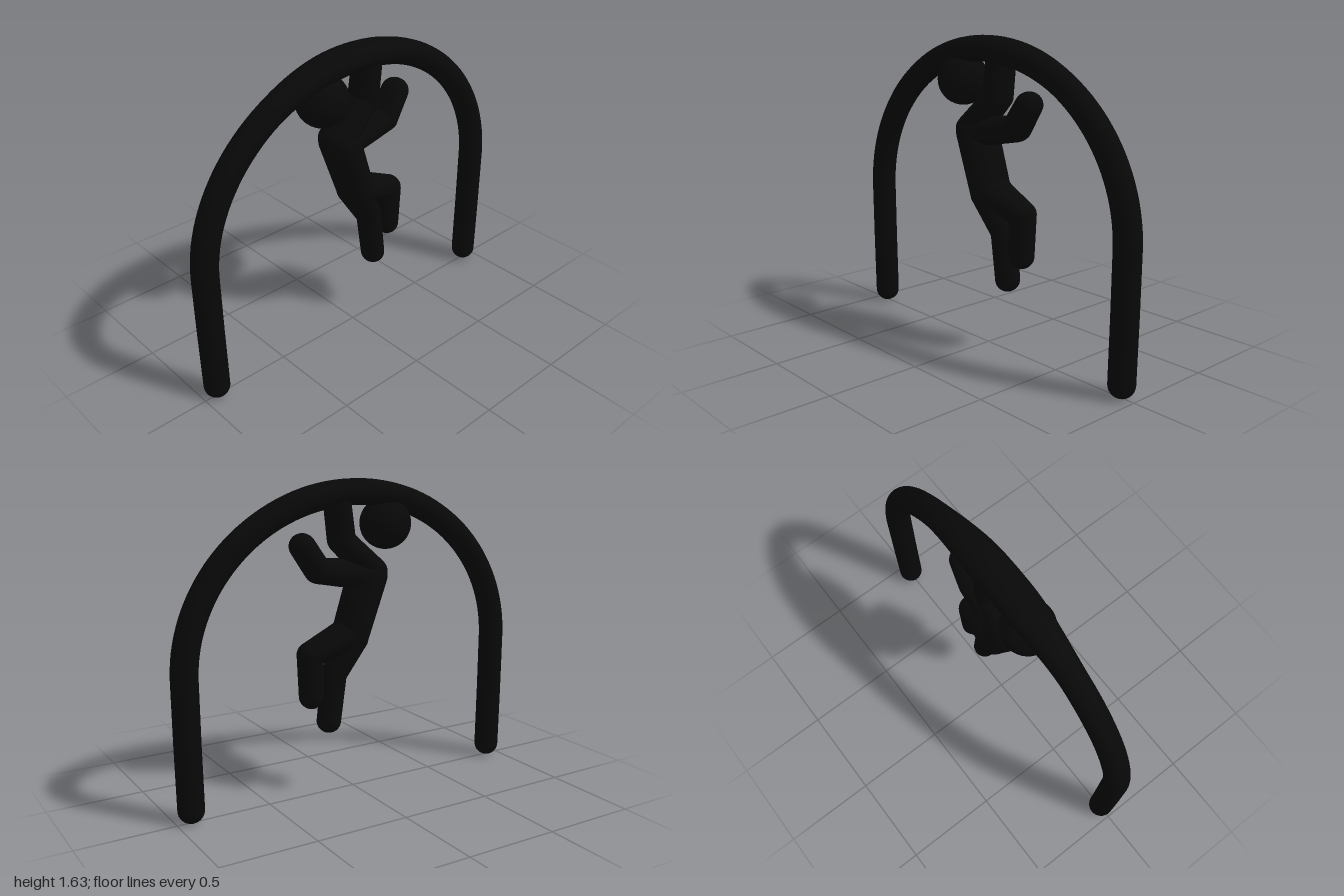
import * as THREE from 'three';

const SIDES = 28, CAP = 8;

// Round-ended solid along stations [x, y, radius across, radius in z] lying in the z = 0 plane
function sweep(stations) {
  const last = stations.length - 1;
  const tangents = stations.map((s, i) => {
    const a = stations[Math.max(i - 1, 0)], b = stations[Math.min(i + 1, last)];
    return new THREE.Vector2(b[0] - a[0], b[1] - a[1]).normalize();
  });
  const pos = [], idx = [];
  let rings = 0;
  const ring = (i, tilt) => {
    const [x, y, r, rz] = stations[i], t = tangents[i];
    const k = Math.cos(tilt), push = r * Math.sin(tilt);
    for (let j = 0; j < SIDES; j++) {
      const a = (j / SIDES) * Math.PI * 2, n = r * k * Math.cos(a);
      pos.push(x + t.x * push - t.y * n, y + t.y * push + t.x * n, rz * k * Math.sin(a));
    }
    rings++;
  };
  for (let c = CAP; c > 0; c--) ring(0, (-c / CAP) * Math.PI / 2);
  for (let i = 0; i <= last; i++) ring(i, 0);
  for (let c = 1; c <= CAP; c++) ring(last, (c / CAP) * Math.PI / 2);
  for (let i = 0; i < rings - 1; i++) {
    for (let j = 0; j < SIDES; j++) {
      const a = i * SIDES + j, b = i * SIDES + (j + 1) % SIDES;
      idx.push(a, b, a + SIDES, b, b + SIDES, a + SIDES);
    }
  }
  const geo = new THREE.BufferGeometry();
  geo.setAttribute('position', new THREE.Float32BufferAttribute(pos, 3));
  geo.setIndex(idx);
  geo.computeVertexNormals();
  return geo;
}

export function createModel() {
  const group = new THREE.Group();
  const black = new THREE.MeshStandardMaterial({ color: 0x080808 });
  black.name = 'black';

  const add = (name, geometry, parent = group) => {
    const mesh = new THREE.Mesh(geometry, black);
    mesh.name = name;
    parent.add(mesh);
    return mesh;
  };
  // Limb made of straight round-ended segments that overlap at the joints
  const limb = (name, joints) => {
    const part = new THREE.Group();
    part.name = name;
    for (let i = 0; i < joints.length - 1; i++) {
      add(i ? 'lowerSegment' : 'upperSegment', sweep([joints[i], joints[i + 1]]), part);
    }
    group.add(part);
  };

  // Arched bar: two posts joined by a half ellipse that thickens in z at the crown
  const R = 0.067, arch = [[-0.925, R, R, R], [-0.93, 0.4, R, R]];
  for (let i = 0; i <= 64; i++) {
    const a = Math.PI * (1 - i / 64), x = 0.932 * Math.cos(a);
    const swell = 1 - THREE.MathUtils.smoothstep(Math.abs(x), 0.1, 0.55);
    arch.push([x, 0.72 + 0.847 * Math.sin(a), R, R + 0.028 * swell]);
  }
  arch.push([0.93, 0.4, R, R], [0.925, R, R, R]);
  add('archedBar', sweep(arch));

  // Head
  add('head', new THREE.SphereGeometry(0.134, 36, 24)).position.set(-0.197, 1.4, 0);

  // Torso
  add('torso', sweep([[-0.088, 1.14, 0.098, 0.12], [0.015, 0.84, 0.088, 0.12]]));

  // Arms: one hangs from the bar, the other reaches forward
  limb('hangingArm', [[-0.11, 1.16, 0.075, 0.11], [0.068, 1.325, 0.067, 0.09], [0.095, 1.54, 0.065, 0.085]]);
  limb('reachingArm', [[-0.08, 1.14, 0.08, 0.11], [0.205, 1.182, 0.066, 0.09], [0.292, 1.31, 0.066, 0.075]]);

  // Legs: one with a bent knee, the other trailing down
  limb('bentLeg', [[0.02, 0.845, 0.08, 0.115], [0.255, 0.755, 0.067, 0.075], [0.25, 0.535, 0.064, 0.067]]);
  limb('trailingLeg', [[0.012, 0.82, 0.08, 0.115], [0.115, 0.635, 0.066, 0.067], [0.148, 0.388, 0.063, 0.067]]);

  return group;
}
